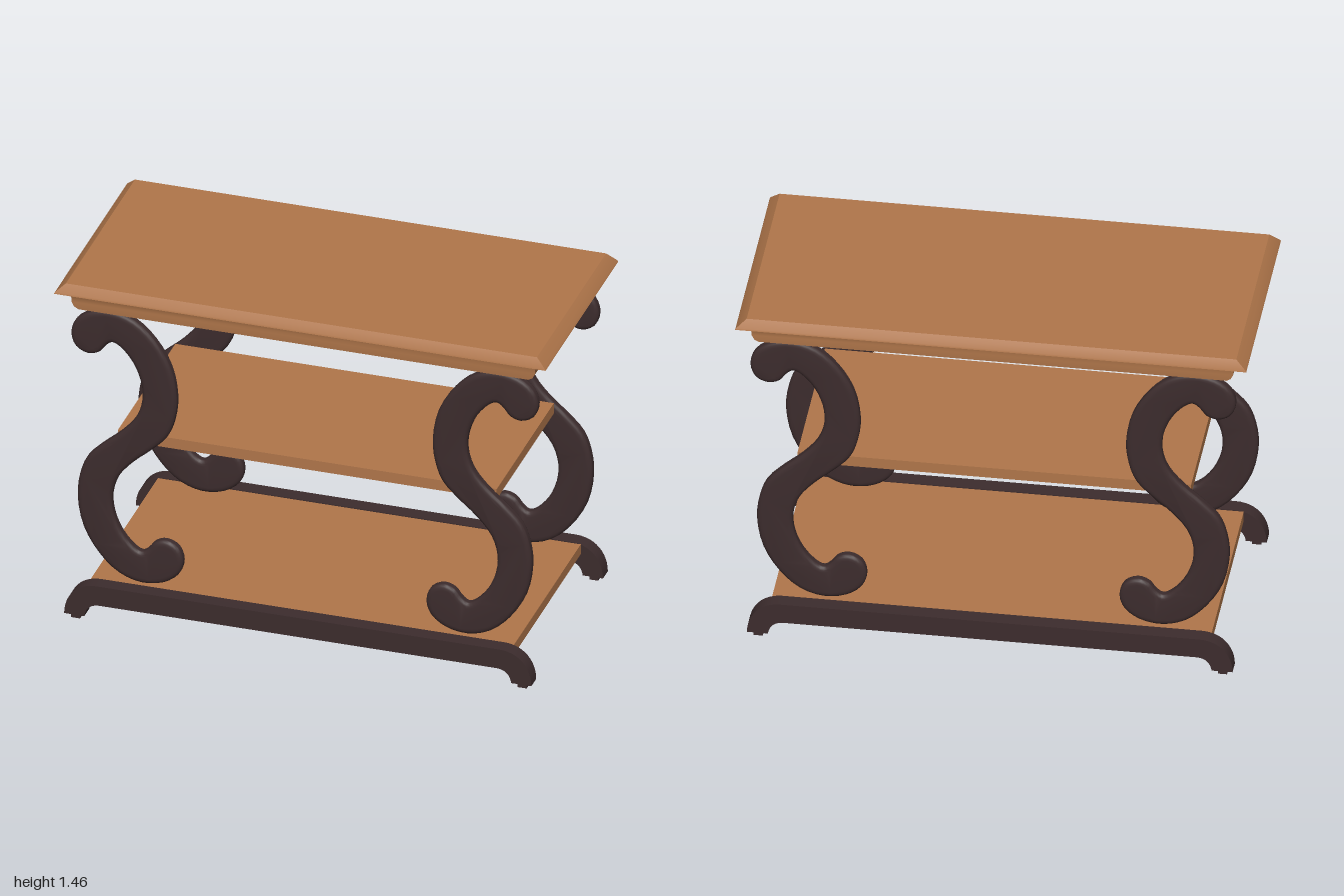
import * as THREE from 'three';
import { toCreasedNormals } from 'three/addons/utils/BufferGeometryUtils.js';

const wood = new THREE.MeshStandardMaterial({ color: 0xb0764a });
wood.name = 'warm wood';
const dark = new THREE.MeshStandardMaterial({ color: 0x3c2c2d });
dark.name = 'dark wood';

function part(parent, name, geometry, material, x = 0, y = 0, z = 0) {
  const mesh = new THREE.Mesh(geometry, material);
  mesh.name = name;
  mesh.position.set(x, y, z);
  parent.add(mesh);
  return mesh;
}

// Stacked rectangles [half width, half depth, height], listed bottom to top
function rectangleLoft(sections) {
  const pos = [];
  const corners = [[1, 1], [1, -1], [-1, -1], [-1, 1]];
  const rings = sections.map(([x, z, y]) =>
    corners.map(([sx, sz]) => [x * sx, y, z * sz]));
  const quad = (a, b, c, d) => pos.push(...a, ...b, ...c, ...a, ...c, ...d);
  for (let i = 0; i < rings.length - 1; i++) {
    for (let k = 0; k < 4; k++) {
      const n = (k + 1) % 4;
      quad(rings[i][k], rings[i][n], rings[i + 1][n], rings[i + 1][k]);
    }
  }
  quad(...rings[rings.length - 1]);
  quad(...[...rings[0]].reverse());
  const g = new THREE.BufferGeometry();
  g.setAttribute('position', new THREE.Float32BufferAttribute(pos, 3));
  return toCreasedNormals(g, 0.6);
}

// S-scroll: half an outline, repeated by a half turn about its middle
function scrollGeometry() {
  const cx = -0.722, cy = 0.75;
  const half = [
    [-0.62, 0.755], [-0.56, 0.82], [-0.53, 0.9], [-0.52, 1.0], [-0.545, 1.13],
    [-0.61, 1.24], [-0.69, 1.312], [-0.78, 1.34], [-0.87, 1.325], [-0.93, 1.28],
    [-0.95, 1.22], [-0.93, 1.162], [-0.88, 1.138], [-0.835, 1.152], [-0.808, 1.185],
    [-0.782, 1.203], [-0.75, 1.188], [-0.7, 1.13], [-0.667, 1.05], [-0.661, 0.97],
    [-0.685, 0.89], [-0.745, 0.815],
  ].map(([x, y]) => new THREE.Vector3(x - cx, y - cy, 0));
  const outline = [...half, ...half.map((p) => p.clone().negate())];
  const curve = new THREE.CatmullRomCurve3(outline, true);
  const points = curve.getPoints(132).slice(0, -1).map((p) => new THREE.Vector2(p.x, p.y));
  const g = new THREE.ExtrudeGeometry(new THREE.Shape(points), {
    depth: 0.015, bevelThickness: 0.015, bevelSize: 0.022, bevelOffset: -0.022, bevelSegments: 4,
  });
  g.translate(cx, cy, -0.0075);
  return toCreasedNormals(g, 0.7);
}

// Base rail with ends that curve down to the floor
function railGeometry() {
  const s = new THREE.Shape();
  s.moveTo(0.95, 0.022);
  s.bezierCurveTo(0.95, 0.1, 0.9, 0.162, 0.82, 0.162);
  s.lineTo(-0.82, 0.162);
  s.bezierCurveTo(-0.9, 0.162, -0.95, 0.1, -0.95, 0.022);
  s.lineTo(-0.868, 0.022);
  s.quadraticCurveTo(-0.86, 0.078, -0.805, 0.078);
  s.lineTo(0.805, 0.078);
  s.quadraticCurveTo(0.86, 0.078, 0.868, 0.022);
  s.closePath();
  const g = new THREE.ExtrudeGeometry(s, { depth: 0.062, bevelEnabled: false, curveSegments: 12 });
  g.translate(0, 0, -0.031);
  return toCreasedNormals(g, 0.6);
}

export function createModel() {
  const model = new THREE.Group();
  model.name = 'scroll leg console table';

  // Table top with moulded apron and bevelled rim
  part(model, 'tableTop', rectangleLoft([
    [0.915, 0.411, 1.335], [0.932, 0.412, 1.345], [0.942, 0.413, 1.365],
    [0.944, 0.413, 1.392], [0.955, 0.422, 1.406], [0.985, 0.447, 1.411],
    [1.0, 0.458, 1.414], [0.996, 0.456, 1.421], [0.958, 0.435, 1.455],
  ]), wood);

  // Shelves
  part(model, 'middleShelf', new THREE.BoxGeometry(1.54, 0.045, 0.72), wood, 0, 0.777, 0);
  part(model, 'bottomShelf', new THREE.BoxGeometry(1.72, 0.043, 0.842), wood, 0, 0.1365, 0);

  // Scroll legs, rails and feet, front and back
  const scroll = scrollGeometry();
  const rail = railGeometry();
  const foot = new THREE.BoxGeometry(0.036, 0.024, 0.032);
  for (const [end, side] of [['front', 1], ['back', -1]]) {
    part(model, `${end}Rail`, rail, dark, 0, 0, side * 0.451);
    for (const [hand, sx] of [['Right', -1], ['Left', 1]]) {
      const leg = part(model, `${end}${hand}ScrollLeg`, scroll, dark, 0, 0, side * 0.3825);
      if (sx > 0) leg.rotation.y = Math.PI;
      part(model, `${end}${hand}Foot`, foot, dark, sx * 0.908, 0.012, side * 0.451);
    }
  }
  return model;
}
